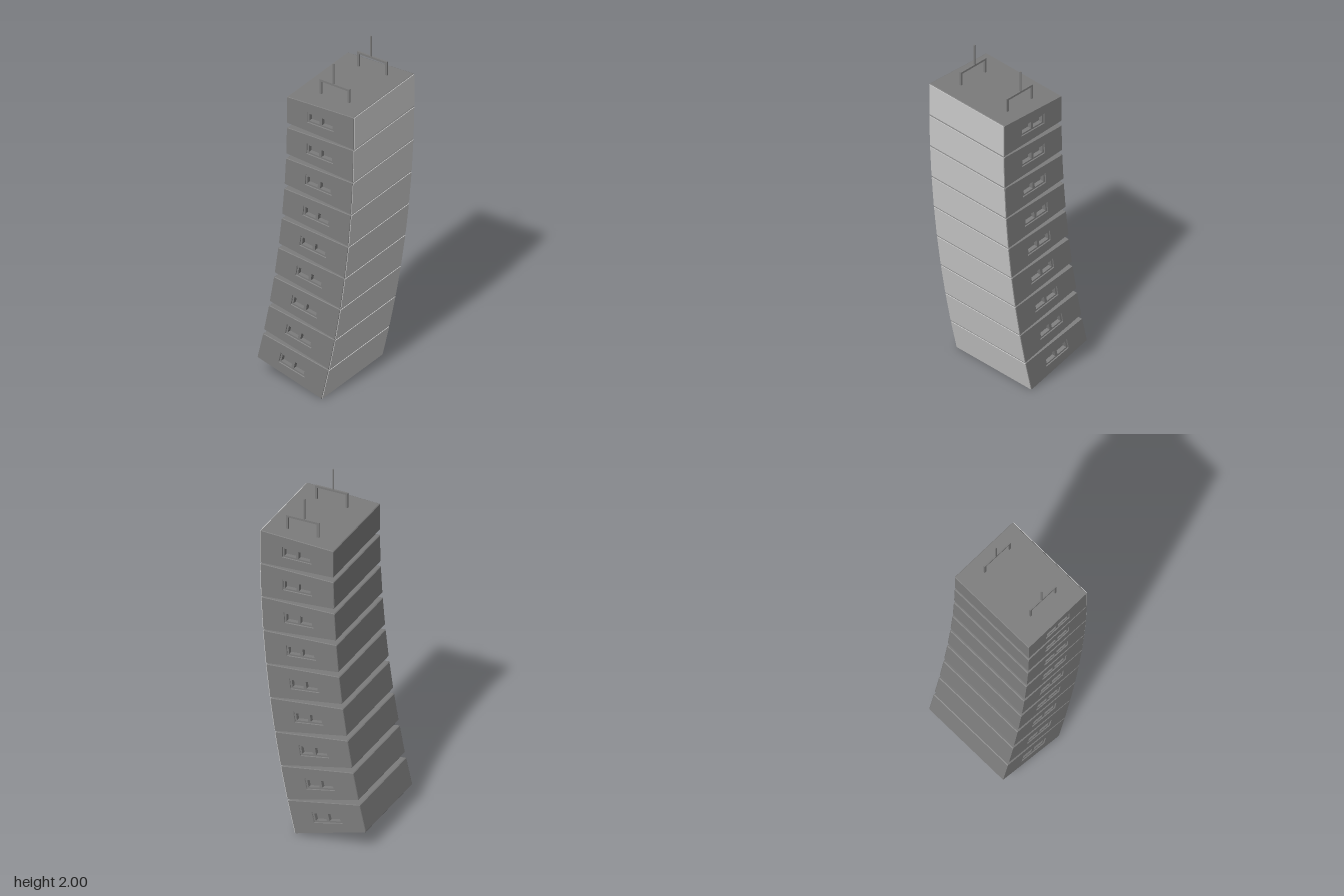
import * as THREE from 'three';

const COUNT = 9;
const DEPTH = 0.432, TALL = 0.197, SHORT = 0.161; // cabinet wedge
const HALF_Z = 0.278, EDGE = 0.004, GRILLE = 0.003;
const PITCH = 0.2023, STEP = THREE.MathUtils.degToRad(1.63);
const HANDLE_X = -0.217, HANDLE_W = 0.168, HANDLE_H = 0.06;
const LIP = 0.006, RECESS = 0.03;

const dark = new THREE.MeshStandardMaterial({ color: 0x7c7c7c });
const grey = new THREE.MeshStandardMaterial({ color: 0xcccccc });

function add(parent, name, geometry, material = dark) {
  const mesh = new THREE.Mesh(geometry, material);
  mesh.name = name;
  parent.add(mesh);
  return mesh;
}

function rectangle(PathType, x, w, h) {
  return new PathType([[-1, -1], [1, -1], [1, 1], [-1, 1]]
    .map(([sx, sy]) => new THREE.Vector2(x + sx * w / 2, sy * h / 2)));
}

// Wedge outline with small chamfered corners and the handle opening
function wedgeShape() {
  const corners = [
    new THREE.Vector2(-DEPTH, -SHORT / 2), new THREE.Vector2(-GRILLE, -TALL / 2),
    new THREE.Vector2(-GRILLE, TALL / 2), new THREE.Vector2(-DEPTH, SHORT / 2),
  ];
  const points = corners.flatMap((corner, i) => [corners[(i + 3) % 4], corners[(i + 1) % 4]]
    .map(next => next.clone().sub(corner).setLength(EDGE).add(corner)));
  const shape = new THREE.Shape(points);
  shape.holes.push(rectangle(THREE.Path, HANDLE_X, HANDLE_W, HANDLE_H));
  return shape;
}

const bodyGeo = new THREE.ExtrudeGeometry(wedgeShape(), {
  depth: 2 * (HALF_Z - EDGE), bevelThickness: EDGE, bevelSize: EDGE / 2, bevelOffset: -EDGE / 2, bevelSegments: 1,
}).translate(0, 0, -(HALF_Z - EDGE));

// Light panel on the tall face, slightly smaller than the cabinet
const grilleGeo = new THREE.BoxGeometry(2 * GRILLE, TALL - 0.007, 2 * HALF_Z - 0.007);

// Handle insert with two windows, and the floor behind it
const insertShape = rectangle(THREE.Shape, 0, HANDLE_W, HANDLE_H);
for (const side of [-1, 1]) {
  insertShape.holes.push(rectangle(THREE.Path, side * 0.041, 0.066, 0.042));
}
const insertGeo = new THREE.ExtrudeGeometry(insertShape, { depth: RECESS - LIP, bevelEnabled: false });
const floorGeo = new THREE.BoxGeometry(HANDLE_W, HANDLE_H, 0.01).translate(0, 0, -0.005);

function makeCabinet() {
  const cabinet = new THREE.Group();
  add(cabinet, 'cabinetBody', bodyGeo);
  add(cabinet, 'grille', grilleGeo, grey).position.x = -GRILLE;
  for (const side of [1, -1]) {
    const handle = new THREE.Group();
    handle.name = 'handle';
    add(handle, 'handleInsert', insertGeo);
    add(handle, 'handleFloor', floorGeo);
    handle.position.set(HANDLE_X, 0, side * (HALF_Z - RECESS));
    if (side < 0) handle.rotation.y = Math.PI;
    cabinet.add(handle);
  }
  return cabinet;
}

// Hanging frame: two legs, a crossbar and a rod
function makeBracket() {
  const bracket = new THREE.Group();
  bracket.name = 'hangingBracket';
  const x0 = 0.007, x1 = 0.199, t = 0.012, top = 1.877, foot = 1.78;
  const mid = (x0 + x1) / 2;
  add(bracket, 'crossbar', new THREE.BoxGeometry(x1 - x0, t, 0.01)).position.set(mid, top - t / 2, 0);
  for (const x of [x0 + t / 2, x1 - t / 2]) {
    add(bracket, 'bracketLeg', new THREE.BoxGeometry(t, top - t - foot, 0.01))
      .position.set(x, (top - t + foot) / 2, 0);
  }
  add(bracket, 'suspensionRod', new THREE.CylinderGeometry(0.005, 0.005, 2 - top + t, 16))
    .position.set(0.094, (2 + top - t) / 2, 0);
  return bracket;
}

export function createModel() {
  const model = new THREE.Group();
  model.name = 'curvedSpeakerArray';

  // Cabinets hang edge to edge along the tall faces, each tilted further down
  let x = 0.311, y = 1.8;
  for (let i = 0; i < COUNT; i++) {
    const a = STEP * i;
    const cabinet = makeCabinet();
    cabinet.name = 'speakerCabinet' + (i + 1);
    cabinet.position.set(x - Math.sin(a) * TALL / 2, y - Math.cos(a) * TALL / 2, 0);
    cabinet.rotation.z = -a;
    model.add(cabinet);
    x -= Math.sin(a) * PITCH;
    y -= Math.cos(a) * PITCH;
  }

  for (const z of [0.156, -0.187]) {
    const bracket = makeBracket();
    bracket.position.z = z;
    model.add(bracket);
  }
  return model;
}
